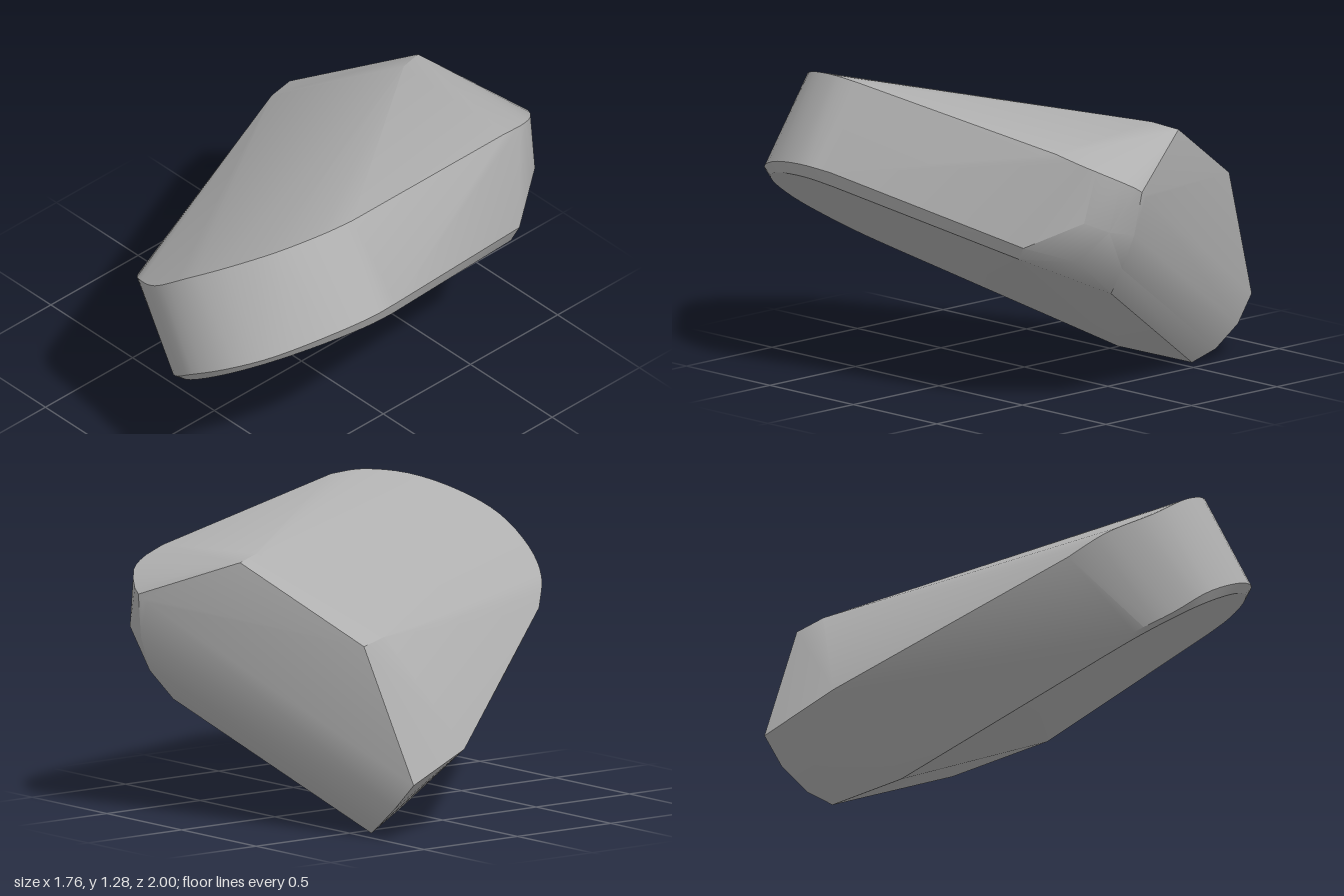
import * as THREE from 'three';
import { ConvexGeometry } from 'three/addons/geometries/ConvexGeometry.js';
import { toCreasedNormals } from 'three/addons/utils/BufferGeometryUtils.js';

const vec = (p) => new THREE.Vector3(...p);
const smooth = (pts, n) => new THREE.CatmullRomCurve3(pts.map(vec), false, 'centripetal').getPoints(n);

// Height of the flat, tilted underside
const underside = (x, z) => 0.05 + 0.629 * (x + 0.4) + 0.07 * (z + 0.15);

export function createModel() {
  const stone = new THREE.MeshStandardMaterial({ color: 0xb0b0b0 });
  stone.name = 'stone grey';
  const group = new THREE.Group();
  group.name = 'tiltedBlock';

  // Sharp upper rim around the rounded nose
  const noseTop = smooth([
    [-0.17, 0.77, 0.78], [-0.05, 0.87, 0.89], [0.13, 0.97, 0.965], [0.3, 1.09, 0.94],
    [0.45, 1.18, 0.84], [0.58, 1.25, 0.68], [0.65, 1.28, 0.48], [0.66, 1.275, 0.33],
  ], 28);

  // Lower rim of the nose, and the softened edge just inside it
  const noseBottom = smooth([
    [0.04, 0.42, 0.72], [0.13, 0.48, 0.86], [0.24, 0.55, 0.95], [0.38, 0.66, 1.0],
    [0.55, 0.76, 0.96], [0.7, 0.84, 0.84], [0.82, 0.91, 0.64], [0.88, 0.94, 0.42], [0.87, 0.93, 0.27],
  ], 28);
  noseBottom.push(vec([0.64, 0.72, -0.65]));
  const softEdge = noseBottom.map((p) => {
    const x = 0.35 + (p.x - 0.35) * 0.96;
    const z = 0.3 + (p.z - 0.3) * 0.96;
    return vec([x, underside(x, z), z]);
  });

  // Rounded lower back edge, swept along the ridge direction
  const along = vec([0.53, 0.31, -0.24]);
  const profile = [
    [-0.88, 0.25, -0.46, 2.13], [-0.78, 0.14, -0.48, 2.05],
    [-0.66, 0.05, -0.47, 1.85], [-0.56, 0, -0.43, 1.6],
  ];
  const backEdge = profile.flatMap(([x, y, z, t]) => {
    const start = vec([x, y, z]);
    return [start, start.clone().addScaledVector(along, t)];
  });

  // Rounded back corner
  const backCorner = smooth([
    [0.5, 1.11, -0.7], [0.47, 1.075, -0.83], [0.42, 1.04, -0.92], [0.3, 0.97, -1.0], [0.25, 0.93, -0.985],
  ], 10).concat([[0.5, 0.84, -0.87], [0.48, 0.66, -0.81], [0.42, 0.8, -0.94]].map(vec));

  // Narrow ridge strip on top and the corners of the flat end
  const corners = [
    [-0.13, 1.13, -0.79], [-0.66, 0.82, -0.55], [-0.09, 1.15, -0.67], [-0.62, 0.84, -0.41],
    [-0.77, 0.35, -0.1], [-0.4, 0.05, -0.15],
  ].map(vec);

  const hull = new ConvexGeometry([
    ...noseTop, ...noseBottom, ...softEdge, ...backEdge, ...backCorner, ...corners,
  ]);
  const body = new THREE.Mesh(toCreasedNormals(hull, 0.5), stone);
  body.name = 'body';
  group.add(body);
  return group;
}
